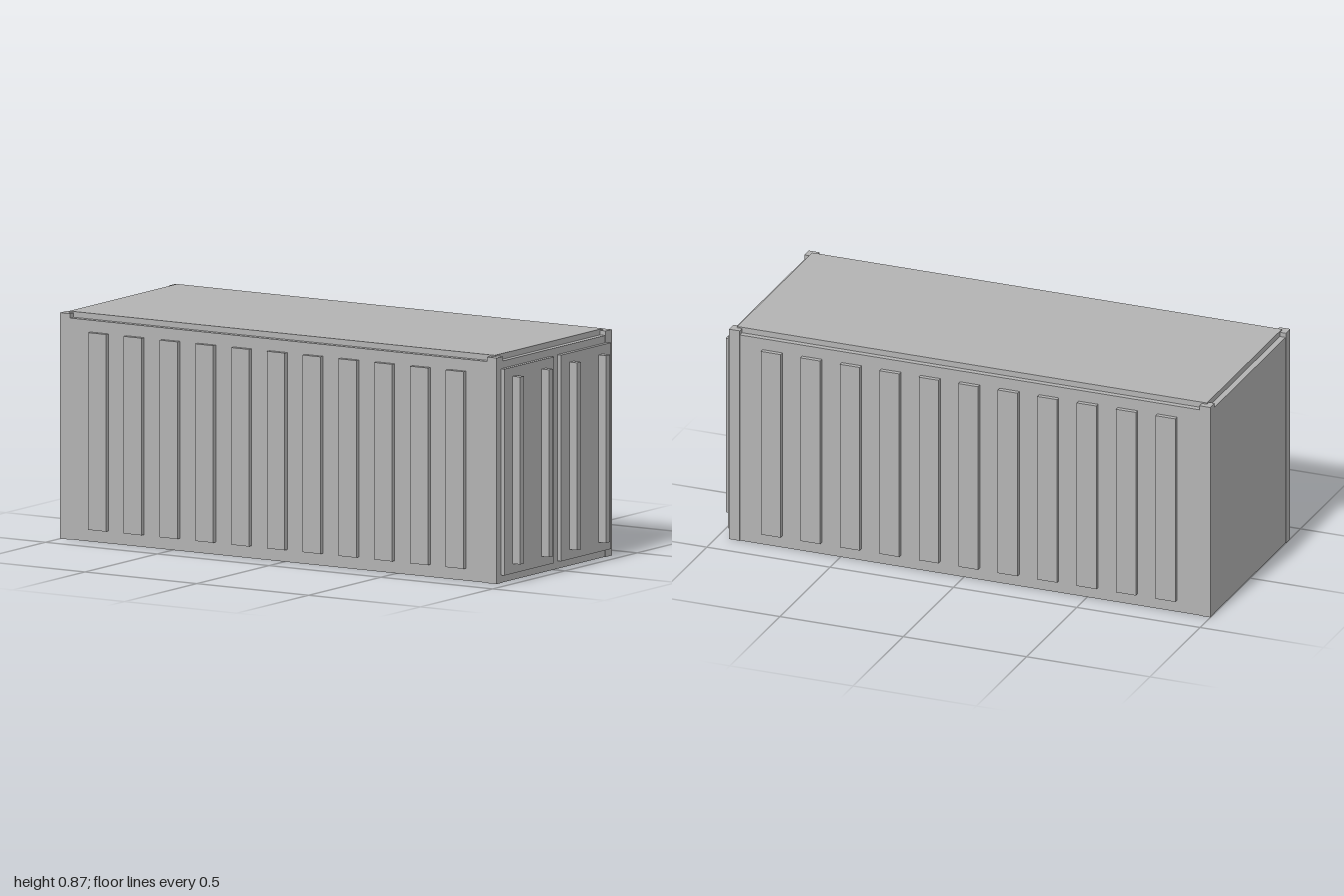
import * as THREE from 'three';

export function createModel() {
  const model = new THREE.Group();
  const steel = new THREE.MeshStandardMaterial({ color: 0xb3b3b3 });
  steel.name = 'grey steel';

  // Box given by its minimum and maximum on each axis
  function box(name, [x0, x1], [y0, y1], [z0, z1]) {
    const mesh = new THREE.Mesh(new THREE.BoxGeometry(x1 - x0, y1 - y0, z1 - z0), steel);
    mesh.name = name;
    mesh.position.set((x0 + x1) / 2, (y0 + y1) / 2, (z0 + z1) / 2);
    model.add(mesh);
  }
  const around = (c, width) => [c - width / 2, c + width / 2];

  const left = -1, right = 0.952, half = 0.398, post = 0.044;

  // Main hull, a hair inside the corner posts
  box('hull', [left + 0.001, right - 0.001], [0.001, 0.843], [-half + 0.001, half - 0.001]);

  // Roof panel
  box('roofPanel', [left + 0.024, right - 0.024], [0.842, 0.865], [-0.374, 0.374]);

  for (const side of [-1, 1]) {
    // Corner posts
    const zPost = around(side * (half - post / 2), post);
    box('cornerPost', [left, left + post], [0, 0.86], zPost);
    box('cornerPost', [right - post, right], [0, 0.86], zPost);

    // Side wall ribs
    for (let i = 0; i < 11; i++) {
      box('sideRib', around(-0.825 + i * 0.16, 0.08), [0.048, 0.798], around(side * 0.405, 0.02));
    }

    // End door with two locking bars
    box('door', [right - 0.004, 0.967], [0.03, 0.815], around(side * 0.196, 0.345));
    for (const z of [0.097, 0.297]) {
      box('lockingBar', [0.966, 1], [0.067, 0.78], around(side * z, 0.028));
    }
  }
  return model;
}
